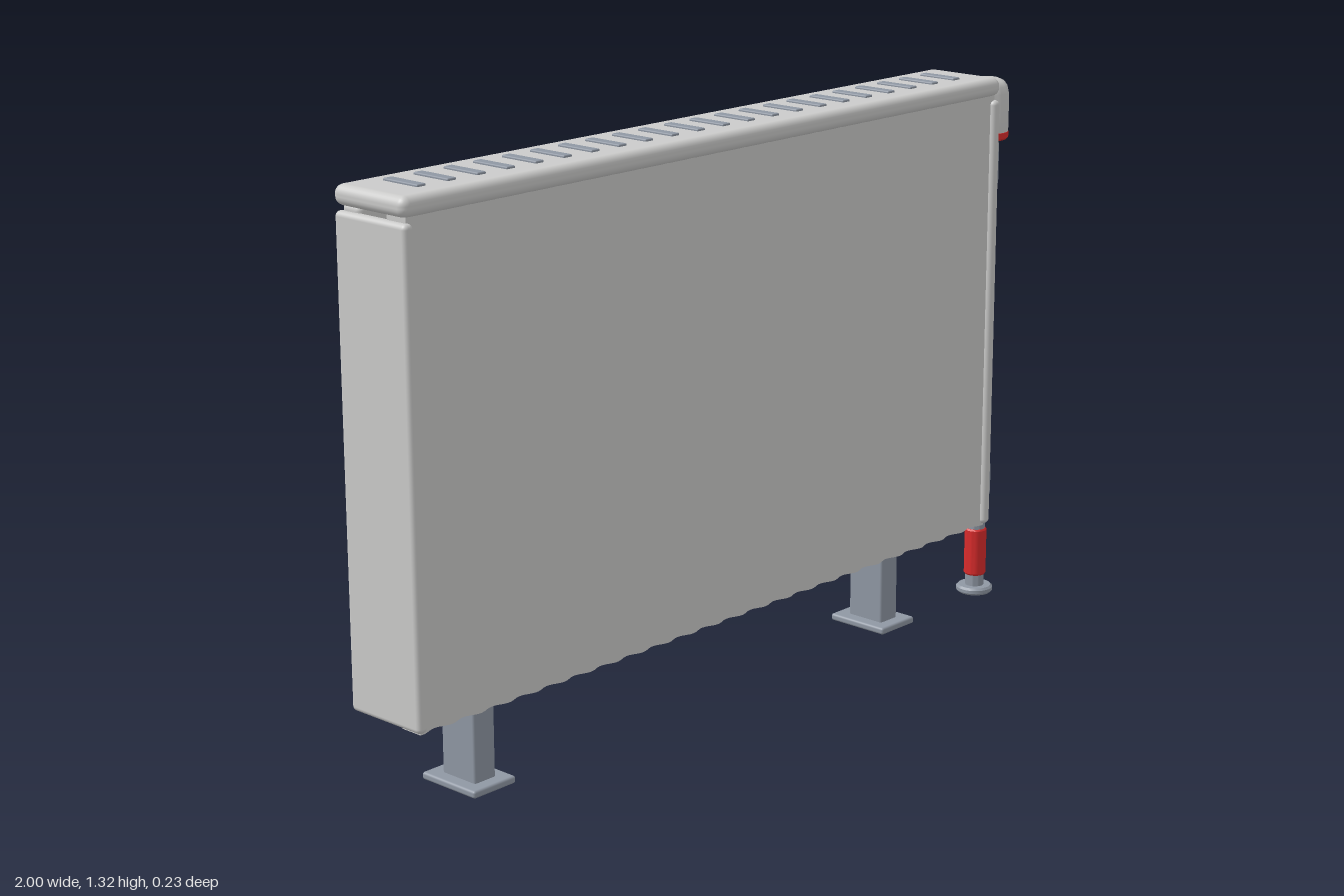
import * as THREE from 'three';
import { RoundedBoxGeometry } from 'three/addons/geometries/RoundedBoxGeometry.js';
import { toCreasedNormals } from 'three/addons/utils/BufferGeometryUtils.js';

const material = (name, color) => {
  const m = new THREE.MeshStandardMaterial({ color });
  m.name = name;
  return m;
};

export function createModel() {
  const enamel = material('light grey enamel', 0xcbcbca);
  const metal = material('blue grey metal', 0x8f97a3);
  const red = material('red', 0xd92b2b);
  const model = new THREE.Group();
  model.name = 'radiator';

  const add = (name, geometry, mat, x = 0, y = 0, z = 0, parent = model) => {
    const mesh = new THREE.Mesh(geometry, mat);
    mesh.name = name;
    mesh.position.set(x, y, z);
    parent.add(mesh);
    return mesh;
  };
  // Rounded box given by its limits on each axis
  const box = (name, mat, [x0, x1], [y0, y1], [z0, z1], r, parent) =>
    add(name, new RoundedBoxGeometry(x1 - x0, y1 - y0, z1 - z0, 3, r), mat,
      (x0 + x1) / 2, (y0 + y1) / 2, (z0 + z1) / 2, parent);
  // Turned part from [radius, height] pairs
  const turned = (name, mat, profile, parent) => {
    const points = profile.map(([r, y]) => new THREE.Vector2(r, y));
    return add(name, toCreasedNormals(new THREE.LatheGeometry(points, 32), 0.6), mat, 0, 0, 0, parent);
  };

  // Fluted front panel
  const pitch = 0.0793, left = -0.985, right = 0.85, steps = 230;
  const outline = new THREE.Shape();
  outline.moveTo(left, -0.05);
  for (let i = 0; i <= steps; i++) {
    const x = left + (right - left) * i / steps;
    outline.lineTo(x, -0.099 - 0.005 * Math.cos((x + 0.9) / pitch * Math.PI * 2));
  }
  outline.lineTo(right, -0.05);
  const fluted = new THREE.ExtrudeGeometry(outline, { depth: 1.06, bevelEnabled: false });
  fluted.rotateX(-Math.PI / 2);
  add('frontPanel', toCreasedNormals(fluted, 0.7), enamel, 0, 0.215, 0);

  // Back panel, end panels and top grille
  box('backPanel', enamel, [-0.985, 0.85], [0.215, 1.275], [-0.084, -0.028], 0.014);
  box('leftEndPanel', enamel, [0.837, 0.863], [0.22, 1.258], [-0.092, 0.115], 0.011);
  box('rightEndPanel', enamel, [-0.998, -0.972], [0.22, 1.258], [-0.092, 0.115], 0.011);
  box('topCover', enamel, [-1, 0.865], [1.268, 1.311], [-0.094, 0.115], 0.019);

  // Vent slots
  for (let i = 0; i < 22; i++) {
    const x = -0.9 + i * pitch;
    box('ventSlot', metal, [x - 0.012, x + 0.012], [1.308, 1.316], [-0.043, 0.057], 0.003);
  }

  // Feet
  for (const x of [-0.735, 0.595]) {
    const foot = new THREE.Group();
    foot.name = 'foot';
    model.add(foot);
    box('footPost', metal, [x - 0.03, x + 0.03], [0.005, 0.25], [-0.08, 0.02], 0.006, foot);
    box('footPlate', metal, [x - 0.06, x + 0.06], [0, 0.017], [-0.112, 0.05], 0.006, foot);
  }

  // Supply pipe with its fittings
  const valve = new THREE.Group();
  valve.name = 'valveAssembly';
  valve.position.set(0.942, 0, 0.011);
  model.add(valve);
  turned('pipe', metal, [[0, 0.005], [0.023, 0.005], [0.023, 1.1], [0, 1.1]], valve);
  turned('floorCollar', metal, [[0, 0], [0.04, 0], [0.045, 0.005], [0.045, 0.013], [0.04, 0.018], [0, 0.018]], valve);
  turned('pipeSleeve', red, [[0, 0.046], [0.024, 0.046], [0.027, 0.05], [0.027, 0.162], [0.024, 0.166], [0, 0.166]], valve);
  for (const [name, y0, y1, yc] of [['lowerFitting', 0.24, 0.345, 0.292], ['upperFitting', 1.02, 1.148, 1.085]]) {
    turned(name, metal, [[0, y0], [0.027, y0], [0.033, y0 + 0.018], [0.033, y1 - 0.018], [0.028, y1], [0, y1]], valve);
    const branch = add(name + 'Branch', new THREE.CylinderGeometry(0.023, 0.023, 0.105, 28), metal, -0.052, yc, 0, valve);
    branch.rotation.z = Math.PI / 2;
  }

  // Thermostat head
  turned('headRing', red, [[0, 1.144], [0.049, 1.144], [0.054, 1.149], [0.054, 1.162], [0.049, 1.167], [0, 1.167]], valve);
  turned('thermostatHead', enamel, [[0, 1.163], [0.053, 1.163], [0.054, 1.18], [0.053, 1.255], [0.049, 1.272],
    [0.041, 1.283], [0.028, 1.289], [0, 1.29]], valve);
  box('headMarker', metal, [0.049, 0.058], [1.198, 1.264], [-0.012, 0.012], 0.003, valve);

  return model;
}
